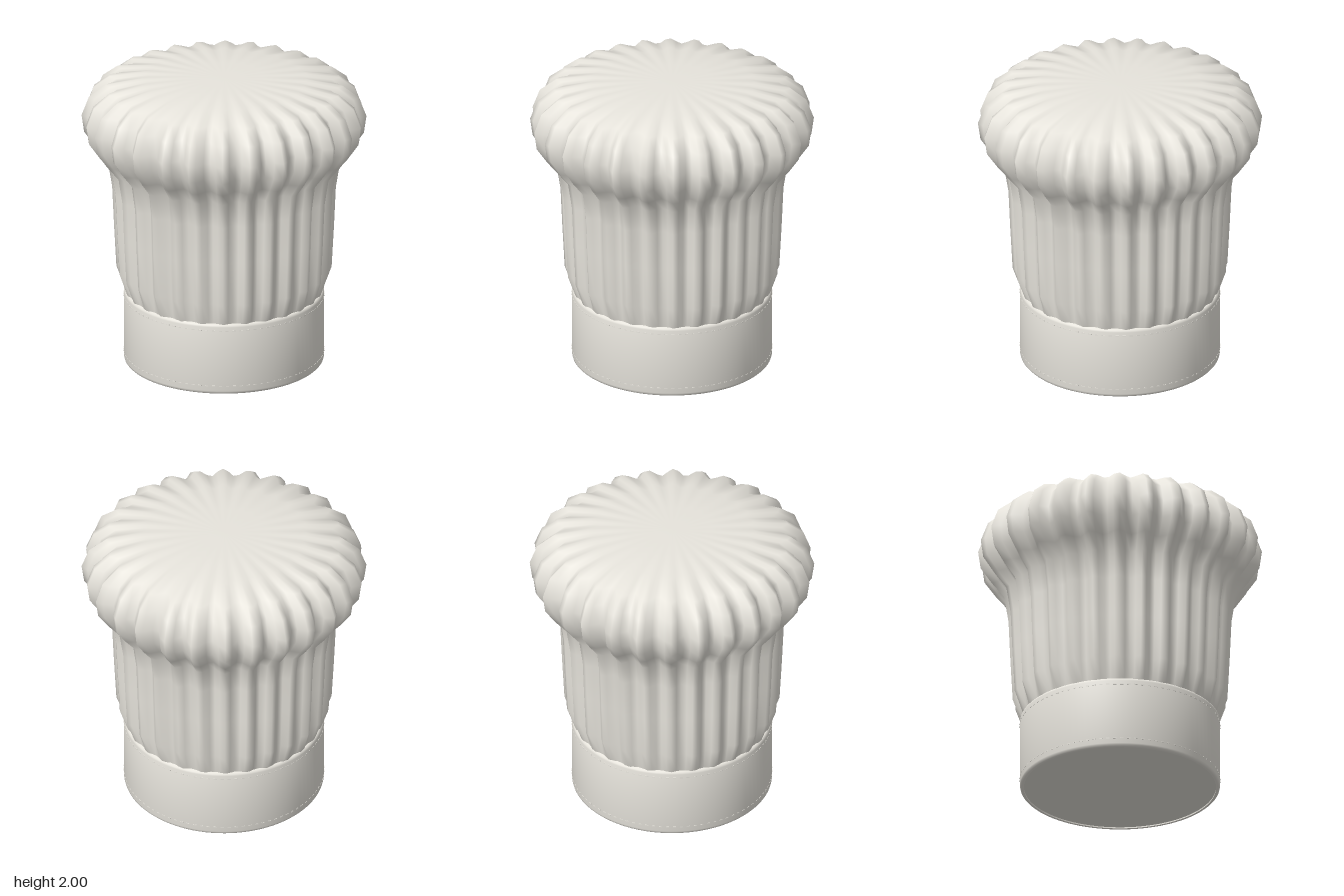
import * as THREE from 'three';
import { mergeVertices, mergeGeometries, toCreasedNormals } from 'three/addons/utils/BufferGeometryUtils.js';

const PLEATS = 28;
const SEGMENTS = 128;

// Lathe from rows of [mean radius, height, pleat depth]
function pleatedLathe(rows) {
  const geo = new THREE.LatheGeometry(rows.map(([r, y]) => new THREE.Vector2(r, y)), SEGMENTS);
  const pos = geo.attributes.position;
  for (let i = 0; i < pos.count; i++) {
    const [radius, y, depth] = rows[i % rows.length];
    const a = Math.atan2(pos.getZ(i), pos.getX(i));
    const r = radius - depth * Math.sin(PLEATS * a);
    pos.setXYZ(i, r * Math.cos(a), y, r * Math.sin(a));
  }
  geo.deleteAttribute('uv');
  geo.deleteAttribute('normal');
  const smooth = mergeVertices(geo, 1e-4);
  smooth.computeVertexNormals();
  return smooth;
}

// Ring of small dashes sewn around the band
function stitchRing(radius, y, count) {
  const dashes = [];
  for (let i = 0; i < count; i++) {
    const dash = new THREE.BoxGeometry(0.022, 0.006, 0.006);
    dash.translate(0, y, radius);
    dash.rotateY((i / count) * Math.PI * 2);
    dashes.push(dash);
  }
  return mergeGeometries(dashes);
}

export function createModel() {
  const hat = new THREE.Group();
  hat.name = 'pleatedHat';
  const cloth = new THREE.MeshStandardMaterial({ color: 0xf0ede5 });
  cloth.name = 'offWhiteCloth';

  const add = (name, geometry) => {
    const mesh = new THREE.Mesh(geometry, cloth);
    mesh.name = name;
    hat.add(mesh);
    return mesh;
  };

  // Pleated column swelling into the puffed top
  add('pleatedCrown', pleatedLathe([
    [0.645, 0.48, 0.004],
    [0.653, 0.51, 0.01],
    [0.688, 0.65, 0.026],
    [0.702, 0.95, 0.028],
    [0.712, 1.22, 0.03],
    [0.737, 1.4, 0.034],
    [0.812, 1.5, 0.04],
    [0.882, 1.61, 0.046],
    [0.897, 1.73, 0.048],
    [0.85, 1.86, 0.046],
    [0.748, 1.945, 0.04],
    [0.53, 1.987, 0.026],
    [0.27, 1.998, 0.01],
    [0, 2, 0],
  ]));

  // Head band with softened edges and a short inner lip
  const bandProfile = [
    [0.638, 0.02], [0.638, 0.004], [0.645, 0], [0.653, 0.003], [0.661, 0.011], [0.664, 0.024],
    [0.664, 0.48], [0.661, 0.492], [0.653, 0.5], [0.63, 0.502],
  ].map(([r, y]) => new THREE.Vector2(r, y));
  add('headBand', toCreasedNormals(new THREE.LatheGeometry(bandProfile, 96), 0.8));

  // Closed underside, set slightly into the band
  const underside = add('underside', new THREE.CircleGeometry(0.64, 96));
  underside.rotation.x = Math.PI / 2;
  underside.position.y = 0.012;

  // Stitching near both edges of the band
  for (const [name, y] of [['lowerStitching', 0.06], ['upperStitching', 0.455]]) {
    add(name, stitchRing(0.663, y, 90));
  }
  return hat;
}
